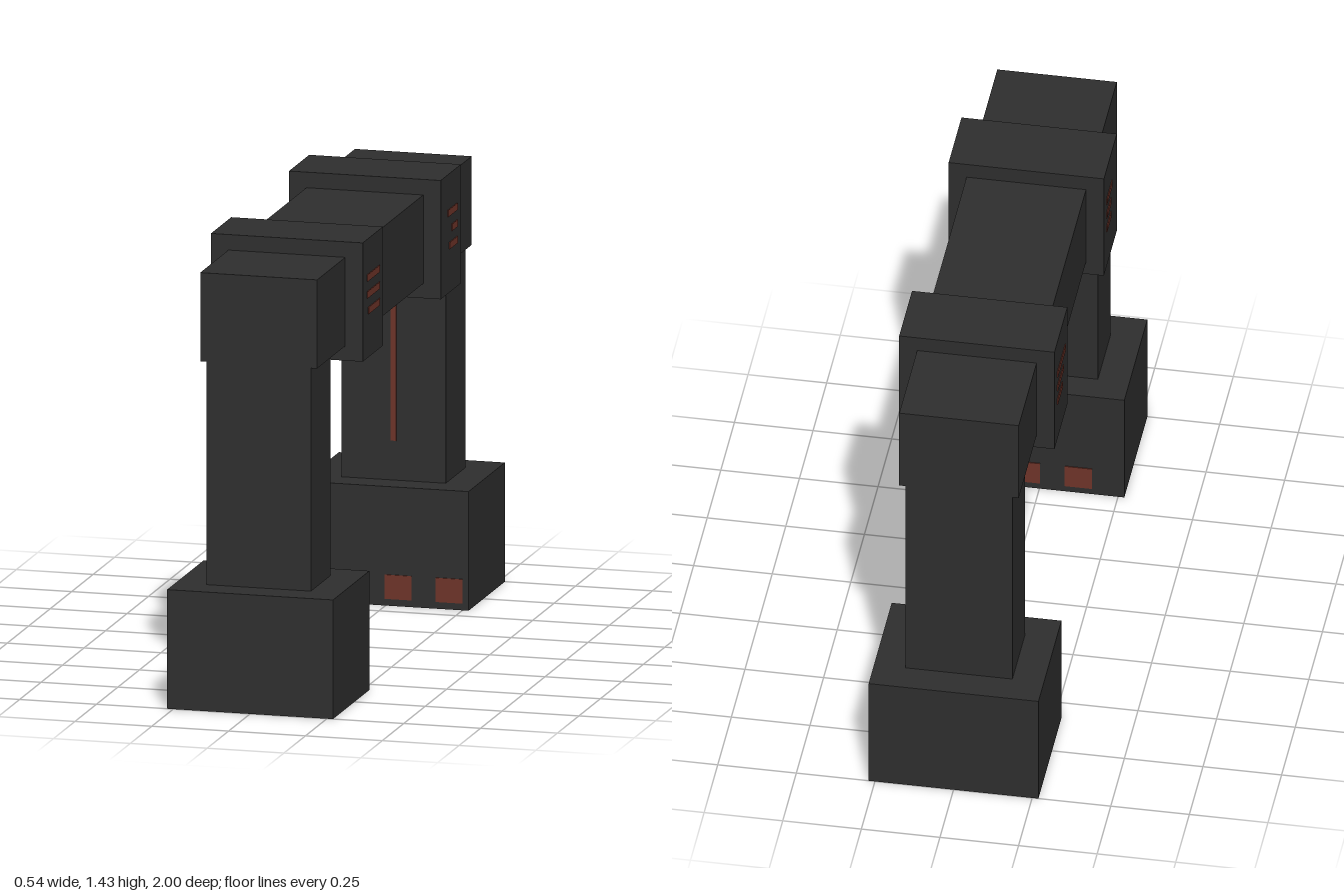
import * as THREE from 'three';

export function createModel() {
  const model = new THREE.Group();
  model.name = 'archway';

  const stone = new THREE.MeshStandardMaterial({ color: 0x2e2e2e, side: THREE.DoubleSide });
  stone.name = 'charcoal';
  const glow = new THREE.MeshStandardMaterial({ color: 0x6e3429 });
  glow.name = 'dull red';

  // Box given by its min and max corners
  function box(parent, name, material, [x0, y0, z0], [x1, y1, z1]) {
    const geometry = new THREE.BoxGeometry(x1 - x0, y1 - y0, z1 - z0);
    const mesh = new THREE.Mesh(geometry, material);
    mesh.position.set((x0 + x1) / 2, (y0 + y1) / 2, (z0 + z1) / 2);
    mesh.name = name;
    parent.add(mesh);
    return mesh;
  }

  // Box with min/max z measured outwards from the middle on one end
  function endBox(parent, name, material, s, [x0, y0, z0], [x1, y1, z1]) {
    return box(parent, name, material,
      [x0, y0, Math.min(s * z0, s * z1)], [x1, y1, Math.max(s * z0, s * z1)]);
  }

  // Crossbeam over both legs
  box(model, 'crossbeam', stone, [-0.19, 1.1, -0.9], [0.19, 1.385, 0.9]);

  const T = 0.003; // plate thickness
  const rows = [1.311, 1.257, 1.204];
  // Stripe lengths from top to bottom, by end (z sign) and side (x sign)
  const stripes = [
    { end: 1, side: 1, lengths: [0.145, 0.145, 0.133] },
    { end: -1, side: 1, lengths: [0.107, 0.064, 0.091] },
    { end: 1, side: -1, lengths: [0.1, 0.08, 0.08] },
    { end: -1, side: -1, lengths: [0.145, 0.11, 0.09] },
  ];

  for (const s of [1, -1]) {
    const tower = new THREE.Group();
    tower.name = s > 0 ? 'frontTower' : 'backTower';
    model.add(tower);

    // Hollow base, open underneath
    const base = endBox(tower, 'base', stone, s, [-0.27, 0, 0.577], [0.27, 0.383, 1]);
    const index = Array.from(base.geometry.index.array);
    index.splice(18, 6); // drop the bottom face
    base.geometry.setIndex(index);
    base.geometry.clearGroups();

    endBox(tower, 'leg', stone, s, [-0.17, 0.383, 0.67], [0.17, 1.1, 0.9]);
    endBox(tower, 'collar', stone, s, [-0.247, 1.053, 0.336], [0.247, 1.435, 0.572]);

    // Light strip and three lamps on the inner faces
    endBox(tower, 'legStrip', glow, s, [-0.009, 0.51, 0.67 - T], [0.009, 0.99, 0.67]);
    for (const x of [-0.168, -0.002, 0.164]) {
      endBox(tower, 'baseLamp', glow, s, [x, 0.022, 0.577 - T], [x + 0.087, 0.1, 0.577]);
    }

    // Ragged stripes on both sides of the collar, aligned at their rear ends
    const rear = s > 0 ? 0.38 : -0.524;
    for (const { side, lengths } of stripes.filter((e) => e.end === s)) {
      lengths.forEach((length, i) => {
        const x0 = side > 0 ? 0.247 : -0.247 - T;
        box(tower, 'collarStripe', glow,
          [x0, rows[i] - 0.011, rear], [x0 + T, rows[i] + 0.011, rear + length]);
      });
    }
  }
  return model;
}
